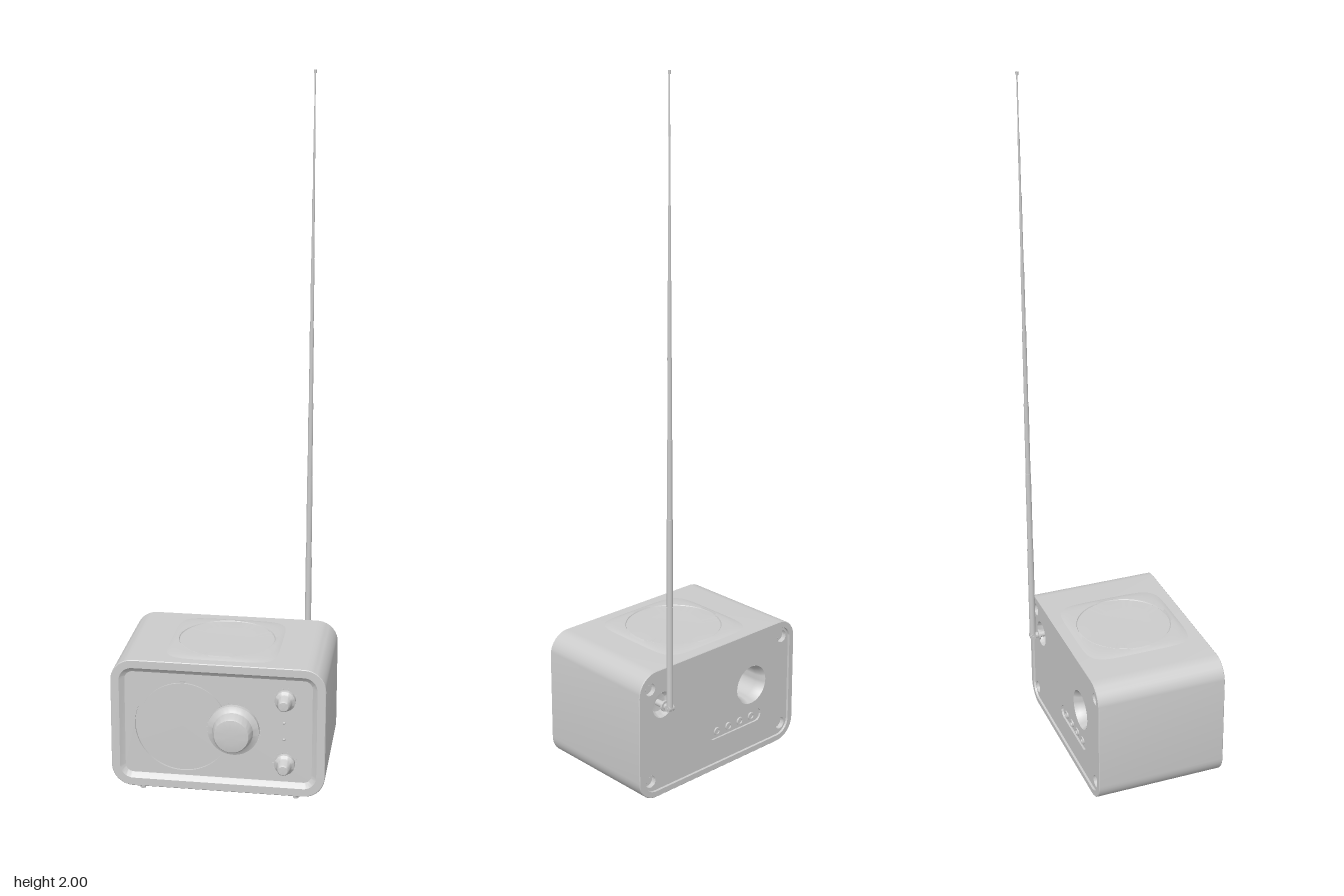
import * as THREE from 'three';
import { toCreasedNormals } from 'three/addons/utils/BufferGeometryUtils.js';

const MAT = new THREE.MeshStandardMaterial({ color: 0xcccccc });
const MAT2 = new THREE.MeshStandardMaterial({ color: 0xcccccc, side: THREE.DoubleSide });
const W = 0.304, H = 0.1915, R = 0.062, CY = 0.2105; // body half sizes, corner radius, centre height
const FRONT = 0.171, BACK = -0.194;                  // panel faces

// Rounded rectangle of the body outline, shrunk by an inset
function outline(inset) {
  const r = R - inset, pts = [];
  for (let c = 0; c < 4; c++) {
    const sx = c === 0 || c === 3 ? 1 : -1, sy = c < 2 ? 1 : -1;
    for (let i = 0; i <= 10; i++) {
      const a = (c + i / 10) * Math.PI / 2;
      pts.push(new THREE.Vector2(sx * (W - R) + r * Math.cos(a), CY + sy * (H - R) + r * Math.sin(a)));
    }
  }
  return pts;
}

// Skin between closed loops of equal length, listed from the middle of the front outwards
function loft(loops) {
  const n = loops[0].length, pos = [], idx = [];
  loops.forEach(l => l.forEach(p => pos.push(p.x, p.y, p.z)));
  for (let i = 0; i < loops.length - 1; i++) for (let j = 0; j < n; j++) {
    const a = i * n + j, b = i * n + (j + 1) % n, c = b + n, d = a + n;
    idx.push(a, d, c, a, c, b);
  }
  const g = new THREE.BufferGeometry();
  g.setAttribute('position', new THREE.Float32BufferAttribute(pos, 3));
  g.setIndex(idx);
  return toCreasedNormals(g, 0.5);
}

// Lathe pointing along +z (dir 1) or -z (dir -1)
function turned(profile, dir = 1, sides = 40) {
  const g = new THREE.LatheGeometry(profile.map(p => new THREE.Vector2(...p)), sides);
  return toCreasedNormals(g.rotateX(dir * Math.PI / 2), 0.5);
}

function circleHole(x, y, r) {
  return new THREE.Path().absarc(x, y, r, 0, Math.PI * 2, true);
}

// Stadium-shaped path
function slot(x, y, half, r, Type) {
  const p = new Type();
  p.absarc(x + half, y, r, -Math.PI / 2, Math.PI / 2, false);
  p.absarc(x - half, y, r, Math.PI / 2, Math.PI * 1.5, false);
  p.closePath();
  return p;
}

export function createModel() {
  const model = new THREE.Group();
  function add(name, geo, x = 0, y = 0, z = 0, mat = MAT, parent = model) {
    const m = new THREE.Mesh(geo, mat);
    m.name = name;
    m.position.set(x, y, z);
    parent.add(m);
    return m;
  }
  function panel(name, inset, holes, z, depth) {
    const s = new THREE.Shape(outline(inset));
    s.holes.push(...holes);
    const g = new THREE.ExtrudeGeometry(s, { depth, bevelEnabled: false, curveSegments: 32 });
    add(name, toCreasedNormals(g, 0.5), 0, 0, z);
  }

  // Cabinet shell with sloped front rim and shallow back rim
  const rings = [[0.042, 0.169], [0.036, 0.172], [0.024, 0.183], [0.002, 0.183], [0, 0.181],
    [0, -0.198], [0.002, -0.2], [0.018, -0.2], [0.02, -0.19]];
  add('cabinet', loft(rings.map(([inset, z]) => outline(inset).map(p => new THREE.Vector3(p.x, p.y, z)))));

  // Raised speaker pad on the roof: rounded square blending into a circle
  const pad = [[0.001, 2, 0.4035], [0.08, 2, 0.404], [0.136, 2, 0.4055], [0.1375, 2, 0.4045], [0.139, 2, 0.407],
    [0.147, 3, 0.406], [0.155, 5, 0.404], [0.163, 7, 0.4005]];
  const padGeo = loft(pad.map(([r, n, y]) => Array.from({ length: 72 }, (_, i) => {
    const a = i / 72 * Math.PI * 2, c = Math.cos(a), s = Math.sin(a);
    const k = r / Math.pow(Math.abs(c) ** n + Math.abs(s) ** n, 1 / n);
    return new THREE.Vector3(k * c, k * s, y);
  })));
  add('speakerPad', padGeo.rotateX(-Math.PI / 2), 0, 0, -0.008);

  // Front panel, with a groove left around the dial disc
  const dx = -0.1, dy = 0.208;
  panel('frontPanel', 0.038, [circleHole(dx, dy, 0.137)], FRONT - 0.02, 0.02);
  add('dialGroove', new THREE.CircleGeometry(0.139, 64), dx, dy, FRONT - 0.006);
  add('dialDisc', turned([[0.127, 0], [0.127, 0.006], [0, 0.006]], 1, 64), dx, dy, FRONT - 0.007);
  add('dialMarker', new THREE.CylinderGeometry(0.009, 0.009, 0.006, 3).rotateX(Math.PI / 2), dx, dy + 0.128, FRONT - 0.001);

  // Tuning knob and two small knobs, each with a ring of ticks
  function ticks(name, x, y, r, count, len) {
    const g = new THREE.Group();
    g.name = name;
    model.add(g);
    for (let i = 0; i < count; i++) {
      const a = i / count * Math.PI * 2;
      add('tick', new THREE.BoxGeometry(len, 0.002, 0.003), x + r * Math.cos(a), y + r * Math.sin(a), FRONT, MAT, g).rotation.z = a;
    }
  }
  add('tuningKnob', turned([[0.073, 0], [0.073, 0.013], [0.06, 0.018], [0.057, 0.021], [0.051, 0.048],
    [0.048, 0.052], [0.043, 0.053], [0.025, 0.0545], [0, 0.055]], 1, 56), 0.045, dy, FRONT);
  ticks('tuningTicks', 0.045, dy, 0.074, 32, 0.006);
  for (const y of [0.305, 0.113]) {
    add('smallKnob', turned([[0.029, 0], [0.029, 0.012], [0.022, 0.018], [0.02, 0.022], [0.016, 0.046],
      [0.013, 0.05], [0, 0.051]]), 0.19, y, FRONT);
    ticks('smallKnobTicks', 0.19, y, 0.033, 14, 0.005);
  }
  for (const y of [0.235, 0.185]) add('indicatorLight', new THREE.SphereGeometry(0.004, 12, 8), 0.187, y, FRONT);

  // Back panel with port, antenna cup, jack slot and screw wells
  const ax = 0.212, ay = 0.29, px = -0.135, py = 0.235, jx = -0.07, jy = 0.132;
  const screws = [[0.258, 0.35], [-0.258, 0.35], [0.258, 0.07], [-0.258, 0.07]];
  panel('backPanel', 0.019, [circleHole(ax, ay, 0.038), circleHole(px, py, 0.058),
    slot(jx, jy, 0.085, 0.02, THREE.Path), ...screws.map(([x, y]) => circleHole(x, y, 0.018))], BACK, 0.012);
  add('bassPort', turned([[0.058, 0], [0.052, -0.012], [0.048, -0.03], [0.048, -0.15], [0, -0.15]], -1), px, py, BACK, MAT2);
  add('antennaCup', turned([[0.038, 0], [0.036, -0.012], [0.027, -0.022], [0, -0.026]], -1), ax, ay, BACK, MAT2);
  for (const [x, y] of screws) {
    add('screwWell', turned([[0.018, 0], [0.018, -0.014], [0, -0.014]], -1, 24), x, y, BACK, MAT2);
    add('screw', turned([[0.011, -0.014], [0.01, -0.009], [0, -0.007]], -1, 20), x, y, BACK);
  }
  add('jackSlotFloor', new THREE.ShapeGeometry(slot(jx, jy, 0.085, 0.022, THREE.Shape)), 0, 0, BACK + 0.006, MAT2);
  for (let i = 0; i < 4; i++) {
    add('jack', turned([[0.012, 0], [0.012, 0.005], [0.007, 0.005], [0.007, 0.001], [0, 0.001]], -1, 24),
      -0.002 - i * 0.046, jy, BACK + 0.006);
  }

  // Antenna mount and telescoping rod
  const az = -0.222;
  add('antennaStem', turned([[0.009, 0], [0.009, 0.028], [0.0155, 0.028], [0.0155, 0.034], [0.009, 0.034],
    [0.009, 0.05], [0, 0.05]], -1, 24), ax, ay, -0.172);
  add('antennaHinge', new THREE.CylinderGeometry(0.0095, 0.0095, 0.019, 24).rotateZ(Math.PI / 2), ax, ay, az);
  add('hingePin', new THREE.CylinderGeometry(0.004, 0.004, 0.023, 12).rotateZ(Math.PI / 2), ax, ay, az);
  const joints = [0.285, 0.59, 0.84, 1.06, 1.28, 1.48, 1.67, 1.84, 1.992];
  for (let i = 0; i < joints.length - 1; i++) {
    const r = 0.0092 - i * 0.00105, h = joints[i + 1] - joints[i];
    add('antennaSection', new THREE.CylinderGeometry(r, r, h, 16), ax, joints[i] + h / 2, az);
  }
  add('antennaTip', new THREE.CylinderGeometry(0.004, 0.004, 0.009, 16), ax, 1.9955, az);

  // Feet
  for (const x of [-0.22, 0.22]) for (const z of [-0.156, 0.15]) {
    add('foot', new THREE.CylinderGeometry(0.01, 0.008, 0.022, 20), x, 0.011, z);
  }
  return model;
}
